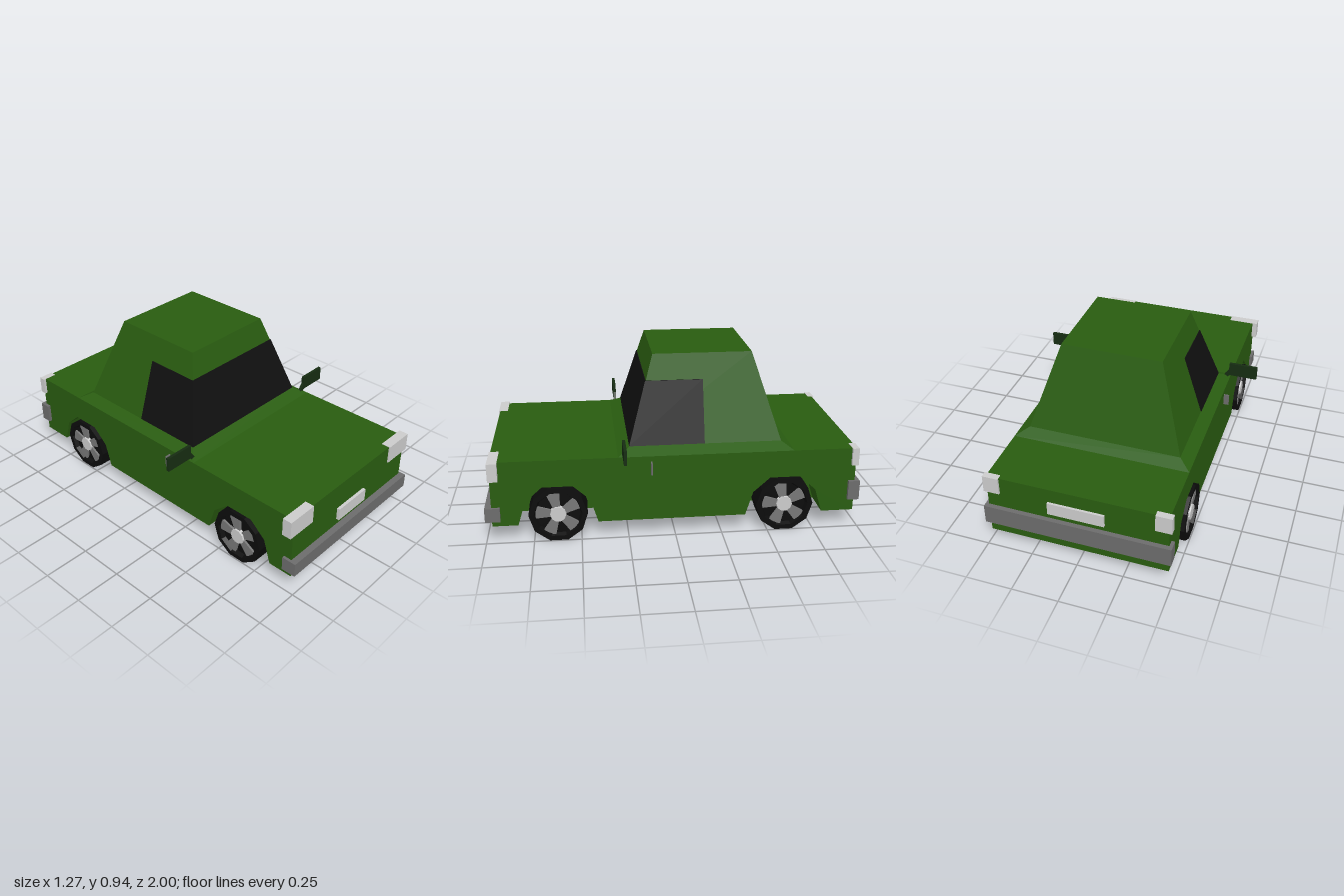
import * as THREE from 'three';

const mat = (color) => new THREE.MeshStandardMaterial({ color, flatShading: true });
const paint = mat(0x295c10), mirrorPaint = mat(0x162c12), glass = mat(0x101010), rubber = mat(0x0c0c0c);
const bumperGrey = mat(0x6c6c6c), spokeGrey = mat(0x777777), lampGrey = mat(0xcccccc);

function add(parent, name, geometry, material) {
  const mesh = new THREE.Mesh(geometry, material);
  mesh.name = name;
  parent.add(mesh);
  return mesh;
}

// Box given by its limits on each axis
function box(parent, name, [x0, x1], [y0, y1], [z0, z1], material) {
  const mesh = add(parent, name, new THREE.BoxGeometry(x1 - x0, y1 - y0, z1 - z0), material);
  mesh.position.set((x0 + x1) / 2, (y0 + y1) / 2, (z0 + z1) / 2);
}

const shapeOf = (points) => new THREE.Shape(points.map(([x, y]) => new THREE.Vector2(x, y)));
const extrude = (points, depth) =>
  new THREE.ExtrudeGeometry(shapeOf(points), { depth, bevelEnabled: false });

// Side profile of [z, y] points, extruded from x0 to x1
function extrudeSide(points, x0, x1) {
  return extrude(points.map(([z, y]) => [-z, y]), x1 - x0).rotateY(Math.PI / 2).translate(x0, 0, 0);
}

// Stacked rectangles [y, halfWidth, zFront, zBack] joined by flat sides and capped on top
function loft(rings) {
  const corners = rings.map(([y, w, f, b]) => [[w, y, f], [w, y, b], [-w, y, b], [-w, y, f]]);
  const pos = [];
  const quad = (a, b, c, d) => pos.push(...a, ...b, ...c, ...a, ...c, ...d);
  for (let r = 0; r < corners.length - 1; r++) {
    for (let i = 0; i < 4; i++) {
      const j = (i + 1) % 4;
      quad(corners[r][i], corners[r][j], corners[r + 1][j], corners[r + 1][i]);
    }
  }
  quad(...corners[corners.length - 1]);
  const geometry = new THREE.BufferGeometry();
  geometry.setAttribute('position', new THREE.Float32BufferAttribute(pos, 3));
  geometry.computeVertexNormals();
  return geometry;
}

// Ten-sided wheel, axle along x, outer face towards +x
function createWheel() {
  const wheel = new THREE.Group();
  const profile = [[0, 0], [0.155, 0], [0.155, 0.165], [0.128, 0.165], [0.118, 0.142], [0, 0.142]];
  const tyre = new THREE.LatheGeometry(profile.map(([r, h]) => new THREE.Vector2(r, h)), 10);
  add(wheel, 'tyre', tyre.rotateZ(-Math.PI / 2), rubber);
  for (let i = 0; i < 5; i++) {
    const spoke = extrude([[0.03, -0.018], [0.118, -0.035], [0.118, 0.035], [0.03, 0.018]], 0.014);
    spoke.rotateZ((30 + 72 * i) * Math.PI / 180).rotateY(Math.PI / 2).translate(0.14, 0, 0);
    add(wheel, 'spoke', spoke, spokeGrey);
  }
  const hub = new THREE.CylinderGeometry(0.042, 0.046, 0.03, 10).rotateZ(-Math.PI / 2);
  add(wheel, 'hub', hub.translate(0.148, 0, 0), lampGrey);
  return wheel;
}

export function createModel() {
  const car = new THREE.Group();
  car.name = 'car';
  const axles = [0.62, -0.59];
  const front = 0.965, back = -0.975, low = 0.09, top = 0.45;

  // Body: plain middle, sides cut by wheel arches
  const arch = [[0.21, low], [0.17, 0.22], [0.08, 0.3], [-0.08, 0.3], [-0.17, 0.22], [-0.21, low]];
  const archCuts = axles.flatMap((z) => arch.map(([dz, y]) => [z + dz, y]));
  const sideProfile = [[front, low], ...archCuts, [back, low], [back, top], [front, top]];
  const midProfile = [[front, low], [back, low], [back, top], [front, top]];
  add(car, 'bodyMiddle', extrudeSide(midProfile, -0.31, 0.31), paint);
  add(car, 'bodyLeft', extrudeSide(sideProfile, 0.31, 0.48), paint);
  add(car, 'bodyRight', extrudeSide(sideProfile, -0.48, -0.31), paint);

  // Cabin with flared foot, and the wraparound front glass
  add(car, 'cabin', loft([
    [top, 0.48, 0.3, -0.635], [0.485, 0.415, 0.235, -0.575], [0.943, 0.27, 0.1, -0.43],
  ]), paint);
  add(car, 'windows', loft([[0.486, 0.418, 0.238, -0.163], [0.81, 0.316, 0.143, -0.163]]), glass);

  // Bumpers and plates
  box(car, 'frontBumper', [-0.495, 0.495], [0.12, 0.197], [0.92, 1], bumperGrey);
  box(car, 'rearBumper', [-0.498, 0.498], [0.157, 0.265], [-1, -0.938], bumperGrey);
  box(car, 'frontPlate', [-0.115, 0.115], [0.233, 0.303], [0.95, 0.982], lampGrey);
  box(car, 'rearPlate', [-0.15, 0.15], [0.3, 0.37], [-0.988, -0.96], lampGrey);

  // Parts found on both sides
  for (const s of [1, -1]) {
    const side = s > 0 ? 'left' : 'right';
    const span = (a, b) => (s > 0 ? [a, b] : [-b, -a]);
    box(car, side + 'Headlight', span(0.333, 0.508), [0.352, 0.452], [0.92, 0.972], lampGrey);
    box(car, side + 'TailLight', span(0.41, 0.495), [0.355, 0.452], [-0.986, -0.95], lampGrey);
    box(car, side + 'DoorHandle', span(0.475, 0.51), [0.355, 0.42], [0.122, 0.13], bumperGrey);

    const mirror = [[0.455, 0.445], [0.48, 0.467], [0.635, 0.467], [0.635, 0.545],
      [0.473, 0.545], [0.473, 0.502], [0.44, 0.455]];
    const mirrorGeometry = extrude(mirror, 0.016);
    if (s < 0) mirrorGeometry.rotateY(Math.PI).translate(0, 0, 0.016);
    add(car, side + 'Mirror', mirrorGeometry, mirrorPaint).position.z = 0.262;

    axles.forEach((z, i) => {
      const wheel = createWheel();
      wheel.name = side + (i ? 'RearWheel' : 'FrontWheel');
      wheel.position.set(s * 0.33, 0.1475, z);
      if (s < 0) wheel.rotation.y = Math.PI;
      car.add(wheel);
    });
  }
  return car;
}
